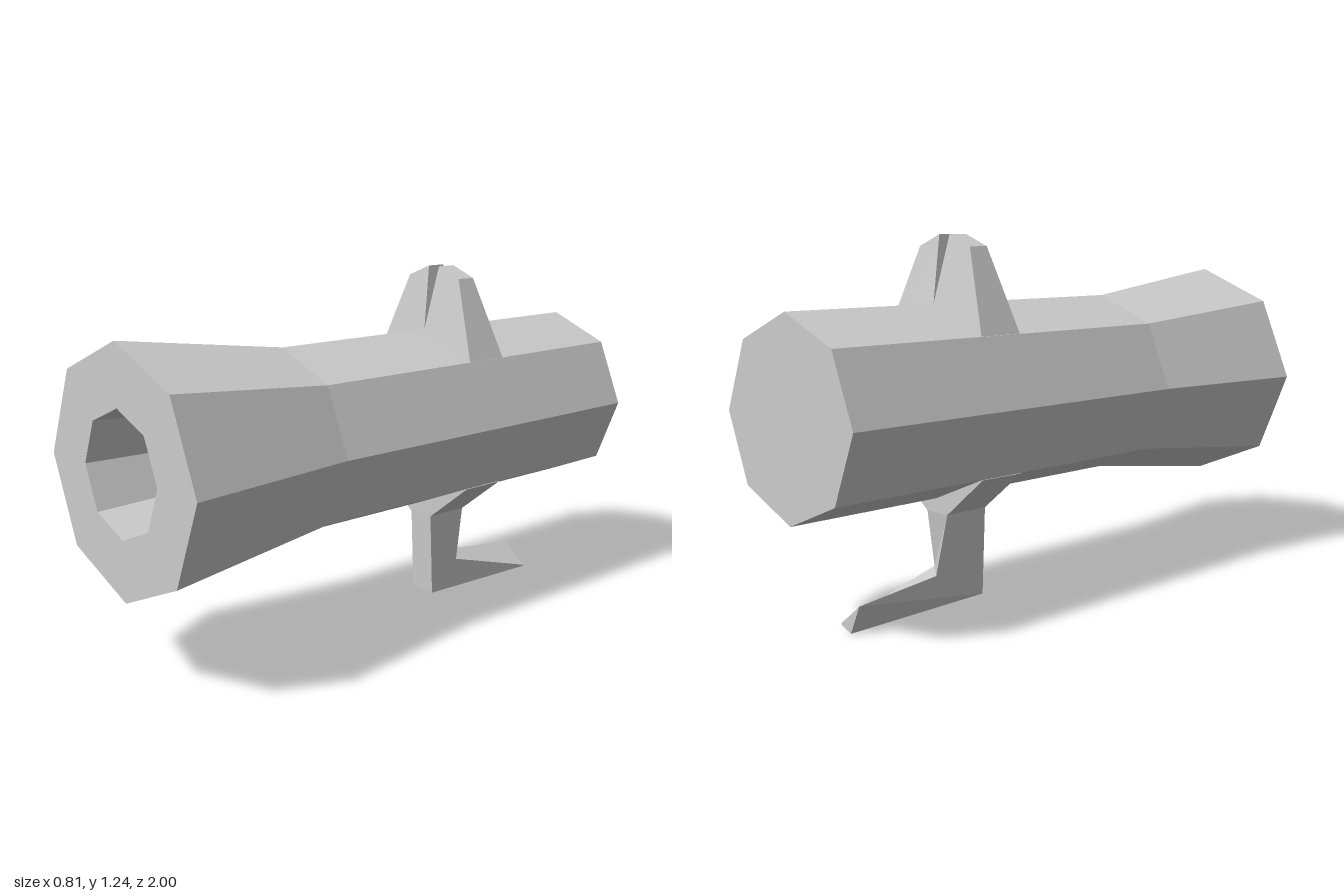
import * as THREE from 'three';

const material = new THREE.MeshStandardMaterial({ color: 0xcccccc, flatShading: true });

// Joins four-cornered cross-sections into a closed faceted solid
function loft(rings) {
  const pos = [];
  const quad = (a, b, c, d) => pos.push(...a, ...b, ...c, ...a, ...c, ...d);
  for (let i = 0; i < rings.length - 1; i++) {
    const [r, s] = [rings[i], rings[i + 1]];
    for (let j = 0; j < 4; j++) {
      const k = (j + 1) % 4;
      quad(r[j], r[k], s[k], s[j]);
    }
  }
  quad(...[...rings[0]].reverse());
  quad(...rings[rings.length - 1]);
  const g = new THREE.BufferGeometry();
  g.setAttribute('position', new THREE.Float32BufferAttribute(pos, 3));
  g.computeVertexNormals();
  return g;
}

export function createModel() {
  const group = new THREE.Group();
  const add = (name, geometry) => {
    const mesh = new THREE.Mesh(geometry, material);
    mesh.name = name;
    group.add(mesh);
    return mesh;
  };

  // Eight-sided tube, flared at the front, with a tapering blind bore
  const profile = [[0, -1], [0.32, -1], [0.32, 0.38], [0.403, 1], [0.203, 1], [0.162, 0.38], [0, 0.38]]
    .map(([r, z]) => new THREE.Vector2(r, z));
  const barrel = new THREE.LatheGeometry(profile, 8).rotateX(Math.PI / 2).toNonIndexed();
  barrel.computeVertexNormals();
  add('barrel', barrel).position.y = 0.698;

  // Pair of tapered sight fins with a narrow gap between them
  const fin = [
    [[0, 1.018, -0.265], [0.227, 0.925, -0.265], [0.227, 0.925, -0.432], [0, 1.018, -0.432]],
    [[0.025, 1.24, -0.31], [0.122, 1.202, -0.31], [0.122, 1.202, -0.383], [0.025, 1.24, -0.383]],
  ];
  const mirrored = fin.map(ring => ring.map(([x, y, z]) => [-x, y, z]).reverse());
  add('leftSightFin', loft(fin));
  add('rightSightFin', loft(mirrored));

  // Grip: wide mount under the barrel, narrow post, then a twisted foot pointing back
  const mount = [[-0.227, 0.47, -0.26], [-0.227, 0.47, -0.43], [0.227, 0.47, -0.43], [0.227, 0.47, -0.26]];
  const neck = [[-0.055, 0.33, -0.262], [-0.055, 0.33, -0.43], [0.045, 0.33, -0.43], [0.045, 0.33, -0.262]];
  const elbow = [[-0.055, 0.033, -0.275], [-0.055, 0.135, -0.48], [0.045, 0.135, -0.402], [0.045, 0.03, -0.275]];
  const toe = [[-0.005, 0, -0.79], [-0.05, 0.098, -0.79], [0.045, 0.023, -0.79], [0.045, 0.018, -0.79]];
  add('gripMount', loft([mount, neck]));
  add('gripPost', loft([neck, elbow]));
  add('gripFoot', loft([elbow, toe]));

  return group;
}
